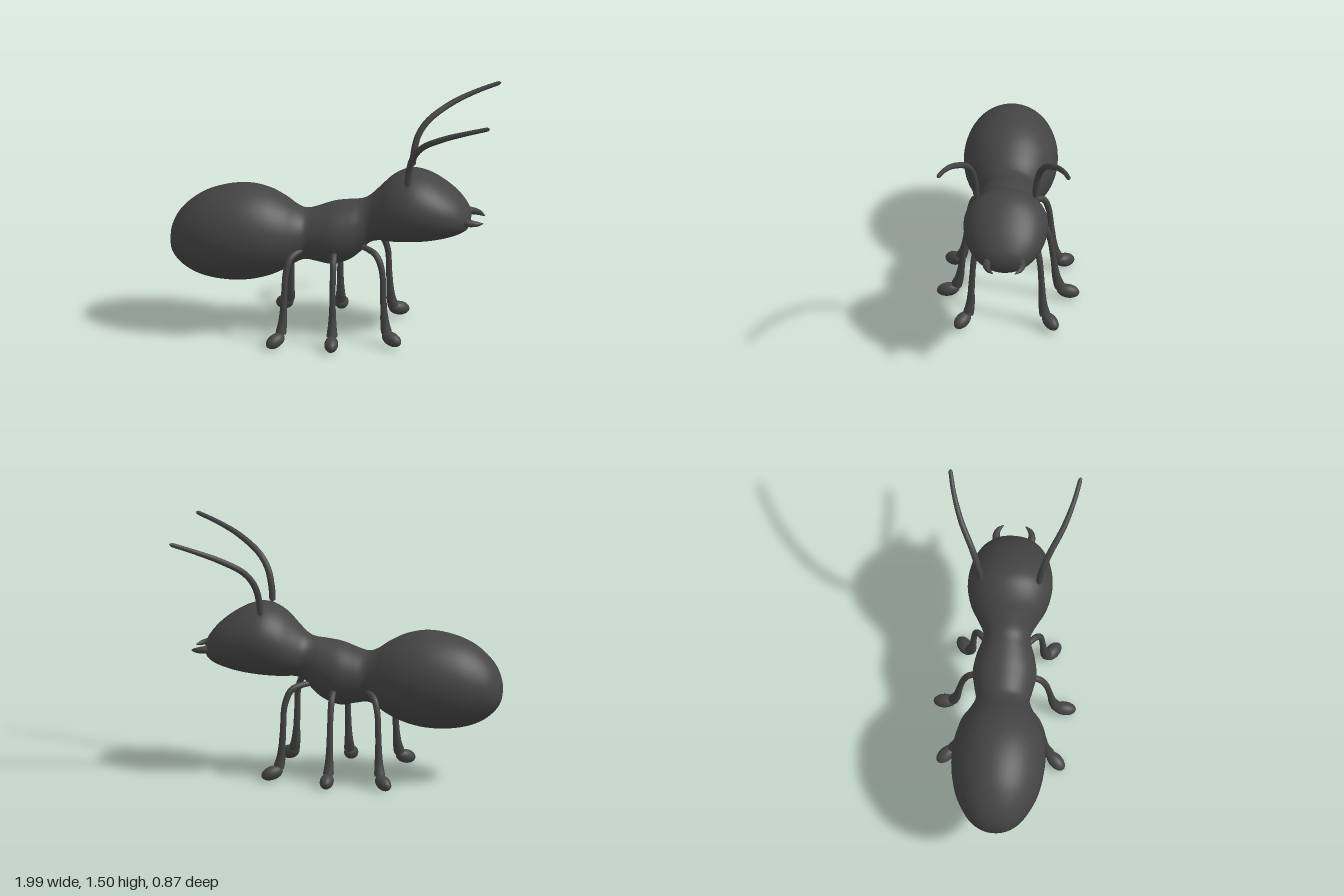
import * as THREE from 'three';

const V = (p) => new THREE.Vector3(...p);
const material = new THREE.MeshStandardMaterial({ color: 0x444444 });

function add(parent, name, geometry) {
  const mesh = new THREE.Mesh(geometry, material);
  mesh.name = name;
  parent.add(mesh);
  return mesh;
}

// Tube whose radius follows a list of values, with rounded closed ends
function taperedTube(points, radii, steps = 48, sides = 14) {
  const curve = new THREE.CatmullRomCurve3(points.map(V));
  const geo = new THREE.TubeGeometry(curve, steps, 1, sides);
  const pos = geo.attributes.position;
  const p = new THREE.Vector3();
  for (let i = 0; i <= steps; i++) {
    const t = i / steps, f = t * (radii.length - 1);
    const k = Math.min(Math.floor(f), radii.length - 2);
    const cap = Math.min(1, Math.sqrt(1 - Math.max(0, 1 - Math.min(t, 1 - t) * 30) ** 2));
    const r = THREE.MathUtils.lerp(radii[k], radii[k + 1], f - k) * cap;
    const c = curve.getPointAt(t);
    for (let j = 0; j <= sides; j++) {
      const n = i * (sides + 1) + j;
      p.fromBufferAttribute(pos, n).sub(c).multiplyScalar(r).add(c);
      pos.setXYZ(n, p.x, p.y, p.z);
    }
  }
  return geo;
}

// Body sections from tail to face: x, top, bottom, half width
const SECTIONS = [
  [-1, 0.585, 0.585, 0], [-0.99, 0.66, 0.51, 0.075], [-0.95, 0.745, 0.45, 0.145],
  [-0.88, 0.82, 0.395, 0.2], [-0.78, 0.885, 0.355, 0.25], [-0.65, 0.925, 0.336, 0.28],
  [-0.52, 0.935, 0.34, 0.286], [-0.4, 0.91, 0.367, 0.268], [-0.3, 0.86, 0.41, 0.23],
  [-0.23, 0.812, 0.455, 0.19], [-0.17, 0.79, 0.478, 0.165], [-0.1, 0.805, 0.468, 0.178],
  [0, 0.84, 0.452, 0.195], [0.1, 0.856, 0.485, 0.178], [0.17, 0.865, 0.54, 0.152],
  [0.22, 0.89, 0.595, 0.145], [0.28, 0.945, 0.616, 0.178], [0.36, 1.02, 0.613, 0.228],
  [0.46, 1.065, 0.615, 0.256], [0.56, 1.052, 0.623, 0.255], [0.66, 1.0, 0.64, 0.232],
  [0.75, 0.93, 0.665, 0.186], [0.81, 0.86, 0.695, 0.125], [0.833, 0.815, 0.73, 0.068],
  [0.84, 0.773, 0.773, 0],
];

// One continuous skin for abdomen, thorax and head
function bodyGeometry(rings = 110, sides = 48) {
  const top = new THREE.CatmullRomCurve3(SECTIONS.map((s) => V([s[0], s[1], s[3]])), false, 'catmullrom');
  const bottom = new THREE.CatmullRomCurve3(SECTIONS.map((s) => V([s[0], s[2], s[3]])), false, 'catmullrom');
  const verts = [], index = [];
  for (let i = 0; i <= rings; i++) {
    const a = top.getPoint(i / rings), b = bottom.getPoint(i / rings);
    for (let j = 0; j < sides; j++) {
      const t = (j / sides) * Math.PI * 2;
      verts.push(a.x, (a.y + b.y) / 2 + ((a.y - b.y) / 2) * Math.cos(t), a.z * Math.sin(t));
      if (i === rings) continue;
      const p = i * sides + j, q = i * sides + ((j + 1) % sides);
      index.push(p, q, p + sides, q, q + sides, p + sides);
    }
  }
  const geo = new THREE.BufferGeometry();
  geo.setAttribute('position', new THREE.Float32BufferAttribute(verts, 3));
  geo.setIndex(index);
  geo.computeVertexNormals();
  return geo;
}

// Leg paths for the +z side, with the foot centre and its outward direction
const LEGS = [
  { name: 'frontLeg', foot: [0.375, 0.062, 0.268], aim: [0.8, -0.25, 0.55],
    path: [[0.17, 0.59, 0.08], [0.22, 0.588, 0.125], [0.275, 0.565, 0.172], [0.31, 0.48, 0.198],
      [0.32, 0.3, 0.213], [0.33, 0.15, 0.222], [0.345, 0.075, 0.237]] },
  { name: 'middleLeg', foot: [0.015, 0.052, 0.365], aim: [0, -0.2, 1],
    path: [[0.015, 0.58, 0.09], [0.015, 0.565, 0.16], [0.015, 0.53, 0.215], [0.015, 0.45, 0.25],
      [0.015, 0.3, 0.275], [0.015, 0.15, 0.295], [0.015, 0.07, 0.32]] },
  { name: 'backLeg', foot: [-0.33, 0.053, 0.335], aim: [-0.65, -0.3, 0.72],
    path: [[-0.15, 0.575, 0.09], [-0.205, 0.57, 0.16], [-0.25, 0.54, 0.21], [-0.274, 0.46, 0.238],
      [-0.284, 0.3, 0.257], [-0.291, 0.15, 0.275], [-0.302, 0.075, 0.3]] },
];

// Antenna, mandible and three legs for one side
function sideParts(side) {
  const group = new THREE.Group();
  const at = ([x, y, z]) => [x, y, z * side];
  const label = side > 0 ? 'Right' : 'Left';
  group.name = `limbs${label}`;

  add(group, `antenna${label}`, taperedTube([
    [0.465, 1.02, 0.18], [0.474, 1.12, 0.186], [0.5, 1.22, 0.205], [0.56, 1.305, 0.24],
    [0.7, 1.395, 0.315], [0.85, 1.458, 0.368], [0.99, 1.505, 0.4],
  ].map(at), [0.02, 0.02, 0.019, 0.018, 0.015, 0.013], 64));

  add(group, `mandible${label}`, taperedTube([
    [0.78, 0.776, 0.09], [0.83, 0.772, 0.108], [0.88, 0.765, 0.1], [0.92, 0.756, 0.066],
  ].map(at), [0.026, 0.025, 0.021, 0.014, 0.002], 32));

  for (const { name, path, foot, aim } of LEGS) {
    const leg = new THREE.Group();
    leg.name = name + label;
    add(leg, 'shank', taperedTube(path.map(at),
      [0.016, 0.019, 0.02, 0.019, 0.018, 0.019, 0.021, 0.027, 0.036]));
    const pad = add(leg, 'foot', new THREE.SphereGeometry(1, 24, 16));
    pad.scale.set(0.042, 0.07, 0.042);
    pad.position.set(...at(foot));
    pad.quaternion.setFromUnitVectors(new THREE.Vector3(0, 1, 0), V(at(aim)).normalize());
    group.add(leg);
  }
  return group;
}

export function createModel() {
  const ant = new THREE.Group();
  ant.name = 'ant';
  add(ant, 'body', bodyGeometry());
  for (const side of [1, -1]) ant.add(sideParts(side));
  return ant;
}
